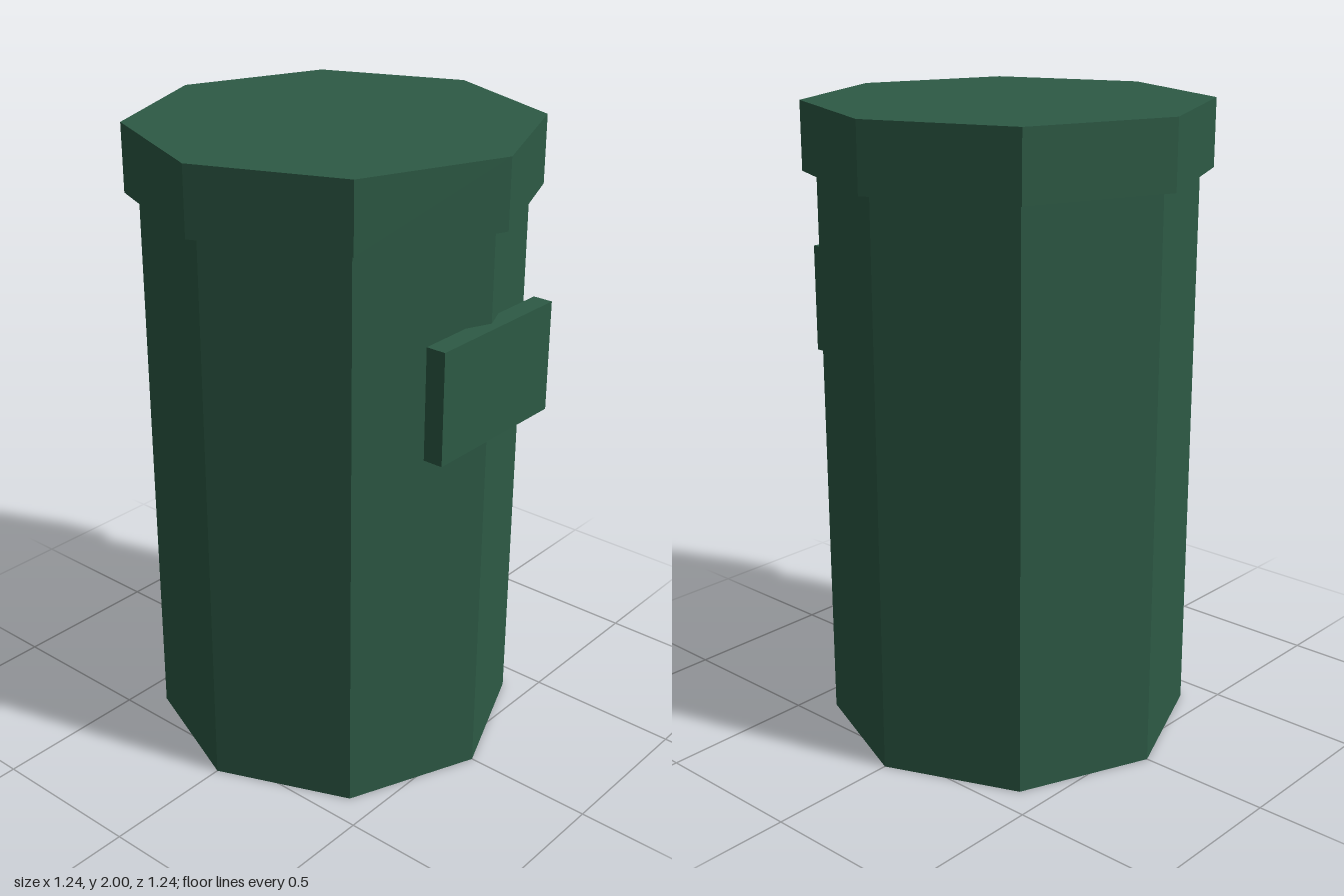
import * as THREE from 'three';

const green = new THREE.MeshStandardMaterial({ color: 0x2d5a45, flatShading: true });
green.name = 'dark green';

function part(name, geometry, y, z = 0) {
  const mesh = new THREE.Mesh(geometry, green);
  mesh.name = name;
  mesh.position.set(0, y, z);
  return mesh;
}

// Octagonal prism with a corner facing the front
const octagon = (radius, height) => new THREE.CylinderGeometry(radius, radius, height, 8);

export function createModel() {
  const bin = new THREE.Group();
  bin.name = 'bin';
  bin.add(
    part('body', octagon(0.58, 1.79), 0.895),
    part('lid', octagon(0.622, 0.21), 1.895),
    // Flap plate across the front corner
    part('frontPlate', new THREE.BoxGeometry(0.514, 0.345, 0.063), 1.337, 0.579),
  );
  return bin;
}
